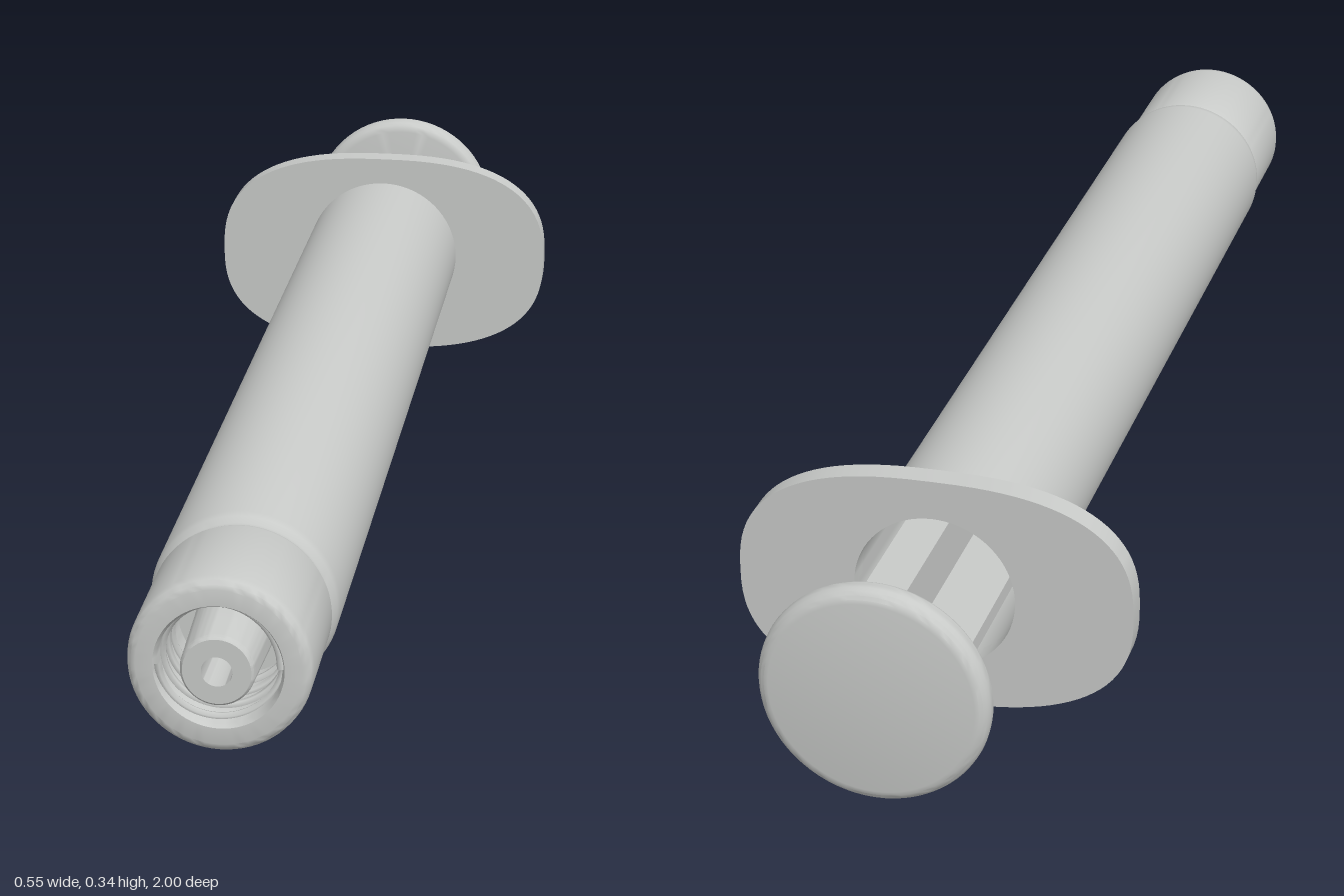
import * as THREE from 'three';
import { toCreasedNormals } from 'three/addons/utils/BufferGeometryUtils.js';

const AXIS_Y = 0.168;

export function createModel() {
  const plastic = new THREE.MeshStandardMaterial({ color: 0xc8cac8 });
  plastic.name = 'pale grey plastic';
  const syringe = new THREE.Group();
  syringe.name = 'syringe';
  syringe.position.y = AXIS_Y;

  const add = (name, geometry) => {
    const mesh = new THREE.Mesh(geometry, plastic);
    mesh.name = name;
    syringe.add(mesh);
    return mesh;
  };
  // Turned part about the z axis; profile is [radius, z], outside running forward
  const turned = (name, profile) => {
    const points = profile.map(([r, z]) => new THREE.Vector2(r, z));
    const geometry = new THREE.LatheGeometry(points, 72).rotateX(Math.PI / 2);
    return add(name, toCreasedNormals(geometry, 0.6));
  };

  // Hollow barrel, open at the back
  turned('barrel', [
    [0.112, -0.7], [0.125, -0.7], [0.125, 0.775], [0.123, 0.788], [0.117, 0.797],
    [0.112, 0.8], [0, 0.8], [0, 0.76], [0.112, 0.76], [0.112, -0.7],
  ]);

  // Thin label wrapped around the lower left of the barrel
  const label = new THREE.CylinderGeometry(0.1265, 0.1265, 0.82, 24, 1, true, 0, Math.PI * 0.5);
  label.rotateX(Math.PI / 2).rotateZ(Math.PI * -0.122 - 0).translate(0, 0, 0.14);
  // Cylinder arc now starts below the axis and sweeps up to the side edge
  add('label', label);

  // Locking collar with a deep recess
  turned('lockCollar', [
    [0, 0.79], [0.112, 0.79], [0.116, 0.802], [0.119, 0.81], [0.119, 0.97], [0.117, 0.98],
    [0.112, 0.986], [0.106, 0.988], [0.084, 0.988], [0.08, 0.98], [0.08, 0.83], [0, 0.83],
  ]);

  // Tapered nozzle with a bore
  turned('nozzle', [
    [0.055, 0.82], [0.048, 0.992], [0.047, 0.997], [0.044, 1.0],
    [0.02, 1.0], [0.018, 0.85], [0, 0.85],
  ]);

  // Two-start inner thread
  for (let start = 0; start < 2; start++) {
    const path = [];
    for (let i = 0; i <= 60; i++) {
      const a = start * Math.PI + (i / 60) * Math.PI * 4;
      path.push(new THREE.Vector3(0.079 * Math.cos(a), 0.079 * Math.sin(a), 0.98 - (0.13 * i) / 60));
    }
    add('lockThread', new THREE.TubeGeometry(new THREE.CatmullRomCurve3(path), 120, 0.006, 6));
  }

  // Finger flange: a soft-cornered oval plate with a hole
  const outline = [];
  for (let i = 0; i < 96; i++) {
    const a = (i / 96) * Math.PI * 2;
    const soft = (v) => Math.sign(v) * Math.pow(Math.abs(v), 2 / 2.6);
    outline.push(new THREE.Vector2(0.274 * soft(Math.cos(a)), 0.1675 * soft(Math.sin(a))));
  }
  const plate = new THREE.Shape(outline);
  plate.holes.push(new THREE.Path().absarc(0, 0, 0.112, 0, Math.PI * 2, true));
  const flange = new THREE.ExtrudeGeometry(plate, { depth: 0.035, bevelEnabled: false, curveSegments: 36 });
  add('fingerFlange', toCreasedNormals(flange.translate(0, 0, -0.72), 0.6));

  // Plunger rod: a cross of two ribs
  const rod = (name, w, h) => add(name, new THREE.BoxGeometry(w, h, 1.435).translate(0, 0, -0.2175));
  rod('plungerRibWide', 0.182, 0.022);
  rod('plungerRibTall', 0.022, 0.178);

  // Stopper at the inner end of the rod
  turned('stopper', [[0, 0.5], [0.111, 0.5], [0.111, 0.6], [0, 0.65]]);

  // Thumb disc with a rounded rim
  const rim = [];
  for (let i = 0; i <= 10; i++) {
    const a = -Math.PI / 2 + (i / 10) * Math.PI;
    rim.push([0.137 + 0.018 * Math.cos(a), -0.979 + 0.021 * Math.sin(a)]);
  }
  turned('thumbDisc', [[0, -1], ...rim, [0, -0.958]]);

  const model = new THREE.Group();
  model.name = 'syringeModel';
  model.add(syringe);
  return model;
}
